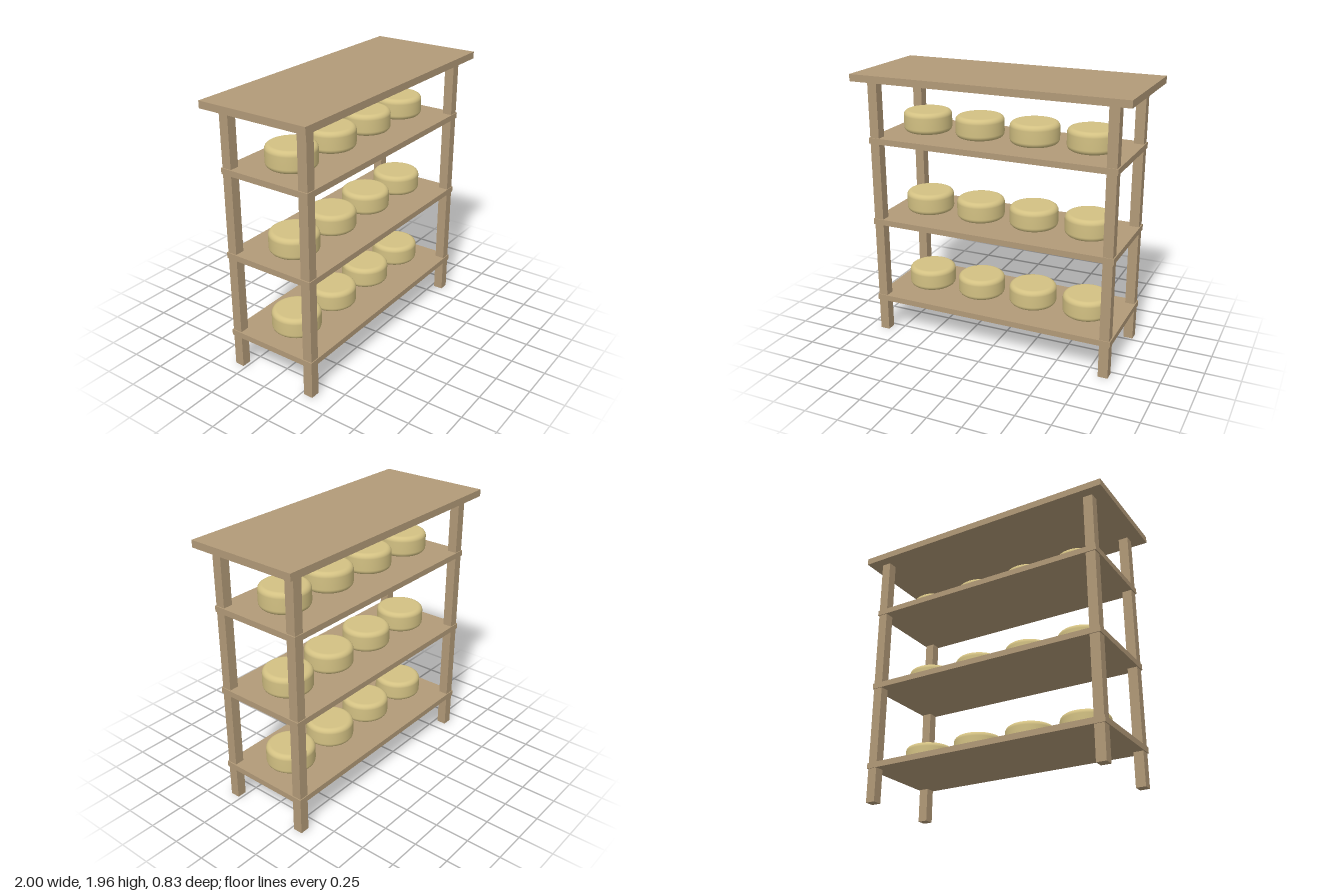
import * as THREE from 'three';

const wood = new THREE.MeshStandardMaterial({ name: 'wood', color: 0xb29a78 });
const rind = new THREE.MeshStandardMaterial({ name: 'cheeseRind', color: 0xd3c183 });

function board(name, width, height, depth, x, y, z) {
  const mesh = new THREE.Mesh(new THREE.BoxGeometry(width, height, depth), wood);
  mesh.name = name;
  mesh.position.set(x, y, z);
  return mesh;
}

// Round wheel with softened top and bottom rims, standing on y = 0
function wheelGeometry(radius, height, bevel) {
  const points = [new THREE.Vector2(0, 0)];
  const steps = 6;
  const arc = (cy, start) => {
    for (let i = 0; i <= steps; i++) {
      const a = start + (i / steps) * Math.PI / 2;
      points.push(new THREE.Vector2(radius - bevel + Math.cos(a) * bevel, cy + Math.sin(a) * bevel));
    }
  };
  arc(bevel, -Math.PI / 2);
  arc(height - bevel, 0);
  points.push(new THREE.Vector2(0, height));
  return new THREE.LatheGeometry(points, 40);
}

export function createModel() {
  const model = new THREE.Group();
  model.name = 'cheeseRack';

  // Corner posts
  for (const x of [-0.87, 0.87]) {
    for (const z of [-0.307, 0.307]) {
      model.add(board('post', 0.07, 1.91, 0.07, x, 0.955, z));
    }
  }

  // Overhanging top board
  model.add(board('topBoard', 2, 0.05, 0.826, 0, 1.935, 0));

  // Shelves, each with a row of four cheese wheels
  const wheel = wheelGeometry(0.174, 0.154, 0.035);
  for (const y of [0.264, 0.873, 1.482]) {
    model.add(board('shelf', 1.826, 0.042, 0.696, 0, y, 0));
    for (let i = 0; i < 4; i++) {
      const cheese = new THREE.Mesh(wheel, rind);
      cheese.name = 'cheeseWheel';
      cheese.position.set((i - 1.5) * 0.418, y + 0.026, 0);
      model.add(cheese);
    }
  }
  return model;
}
